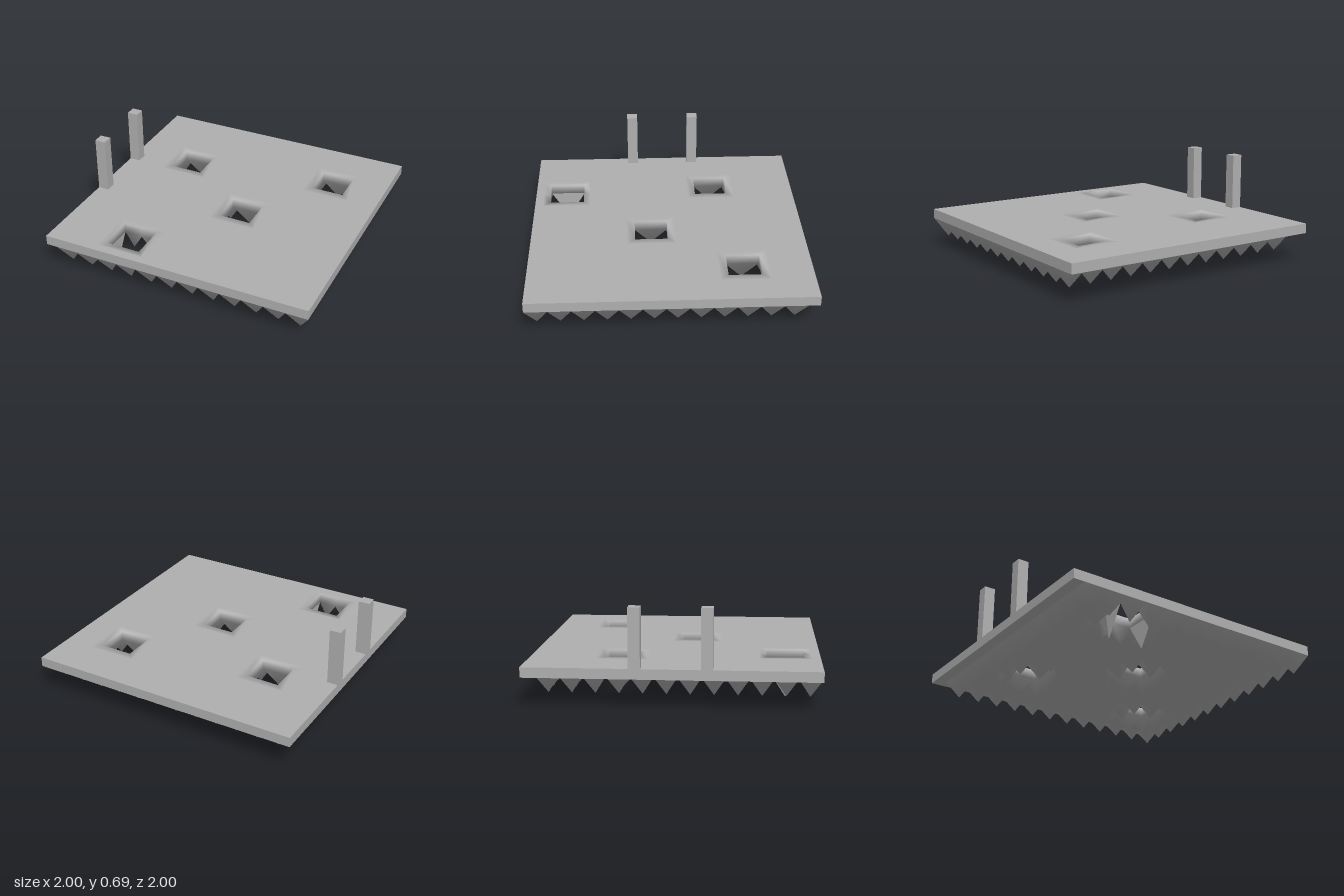
import * as THREE from 'three';
import { mergeVertices } from 'three/addons/utils/BufferGeometryUtils.js';

const TOP = 0.276, UNDER = 0.205, TIP = 0.07, CELL = 0.16, RIM = 0.18;

// Square holes; each replaces one or two grid cells along x
const holes = [
  { x: -0.52, z: -0.36, half: 0.122, cols: 1 },
  { x: 0.6, z: -0.52, half: 0.12, cols: 1 },
  { x: 0.12, z: 0.12, half: 0.12, cols: 1 },
  { x: -0.44, z: 0.76, half: 0.131, cols: 2 },
];
const inCells = (h, x, z, slack) =>
  Math.abs(x - h.x) < h.cols * CELL / 2 + slack && Math.abs(z - h.z) < CELL / 2 + slack;

// Grid corner of the spikes, moved outward where it borders a hole
function gridCorner(i, j) {
  const x = -0.92 + CELL * i, z = -0.92 + CELL * j;
  const h = holes.find((hole) => inCells(hole, x, z, 0.01));
  if (!h) return [x, UNDER, z];
  const stretch = h.half / (CELL / 2);
  return [h.x + (x - h.x) * stretch / h.cols, UNDER, h.z + (z - h.z) * stretch];
}

// Soft-shaded underside: hanging spikes welded to the hole walls and their top rims
function undersideGeometry() {
  const positions = [];
  const tri = (a, b, c) => positions.push(...a, ...b, ...c);

  for (let i = 0; i < 12; i++) {
    for (let j = 0; j < 12; j++) {
      const x = -0.84 + CELL * i, z = -0.84 + CELL * j;
      if (holes.some((h) => inCells(h, x, z, 0))) continue;
      const tip = [x, TIP, z];
      const base = [gridCorner(i, j), gridCorner(i + 1, j), gridCorner(i + 1, j + 1), gridCorner(i, j + 1)];
      base.forEach((corner, k) => tri(corner, base[(k + 1) % 4], tip));
    }
  }

  for (const h of holes) {
    const loop = [[1, -1], [1, 1], [0, 1], [-1, 1], [-1, -1], [0, -1]]
      .filter(([u]) => u !== 0 || h.cols === 2);
    const rows = [[RIM, TOP], [h.half, TOP], [h.half, UNDER]]
      .map(([r, y]) => loop.map(([u, v]) => [h.x + u * r, y, h.z + v * r]));
    for (let row = 0; row < 2; row++) {
      loop.forEach((_, k) => {
        const next = (k + 1) % loop.length;
        const [outer, inner] = [rows[row], rows[row + 1]];
        tri(outer[k], inner[k], outer[next]);
        tri(outer[next], inner[k], inner[next]);
      });
    }
  }

  const soup = new THREE.BufferGeometry();
  soup.setAttribute('position', new THREE.Float32BufferAttribute(positions, 3));
  const geo = mergeVertices(soup, 1e-3);
  geo.computeVertexNormals();
  return geo;
}

// Long pointed flap at one end of the double hole
function flapGeometry(h, side) {
  const x = h.x + side * h.half;
  const geo = new THREE.BufferGeometry();
  geo.setAttribute('position', new THREE.Float32BufferAttribute([
    x, UNDER, h.z - h.half,
    x, UNDER, h.z + h.half,
    x, 0, h.z,
    x + side * 0.03, UNDER, h.z,
  ], 3));
  geo.setIndex(side > 0 ? [0, 2, 1, 0, 3, 2, 3, 1, 2] : [0, 1, 2, 0, 2, 3, 3, 2, 1]);
  return geo.toNonIndexed();
}

export function createModel() {
  const model = new THREE.Group();
  const color = 0xafafaf;
  const flat = new THREE.MeshStandardMaterial({ color, flatShading: true });
  const smooth = new THREE.MeshStandardMaterial({ color });
  const add = (name, geo, mat) => {
    const mesh = new THREE.Mesh(geo, mat);
    mesh.name = name;
    model.add(mesh);
    return mesh;
  };

  // Square slab with openings for the hole rims
  const square = (path, x, y, h) => path.moveTo(x - h, y - h).lineTo(x + h, y - h)
    .lineTo(x + h, y + h).lineTo(x - h, y + h).closePath();
  const outline = square(new THREE.Shape(), 0, 0, 1);
  for (const h of holes) outline.holes.push(square(new THREE.Path(), h.x, -h.z, RIM));
  const slab = new THREE.ExtrudeGeometry(outline, { depth: TOP - UNDER, bevelEnabled: false });
  slab.rotateX(-Math.PI / 2).translate(0, UNDER, 0);
  add('slab', slab, flat);

  add('spikesAndHoleWalls', undersideGeometry(), smooth);

  for (const side of [1, -1]) {
    const flap = flapGeometry(holes[3], side);
    flap.computeVertexNormals();
    add(side > 0 ? 'leftFlap' : 'rightFlap', flap, flat);
  }

  // Two posts on the right edge
  for (const side of [1, -1]) {
    const post = add(side > 0 ? 'frontPost' : 'backPost', new THREE.BoxGeometry(0.08, 0.41, 0.08), flat);
    post.position.set(-0.96, TOP + 0.205, side * 0.24);
  }
  return model;
}
